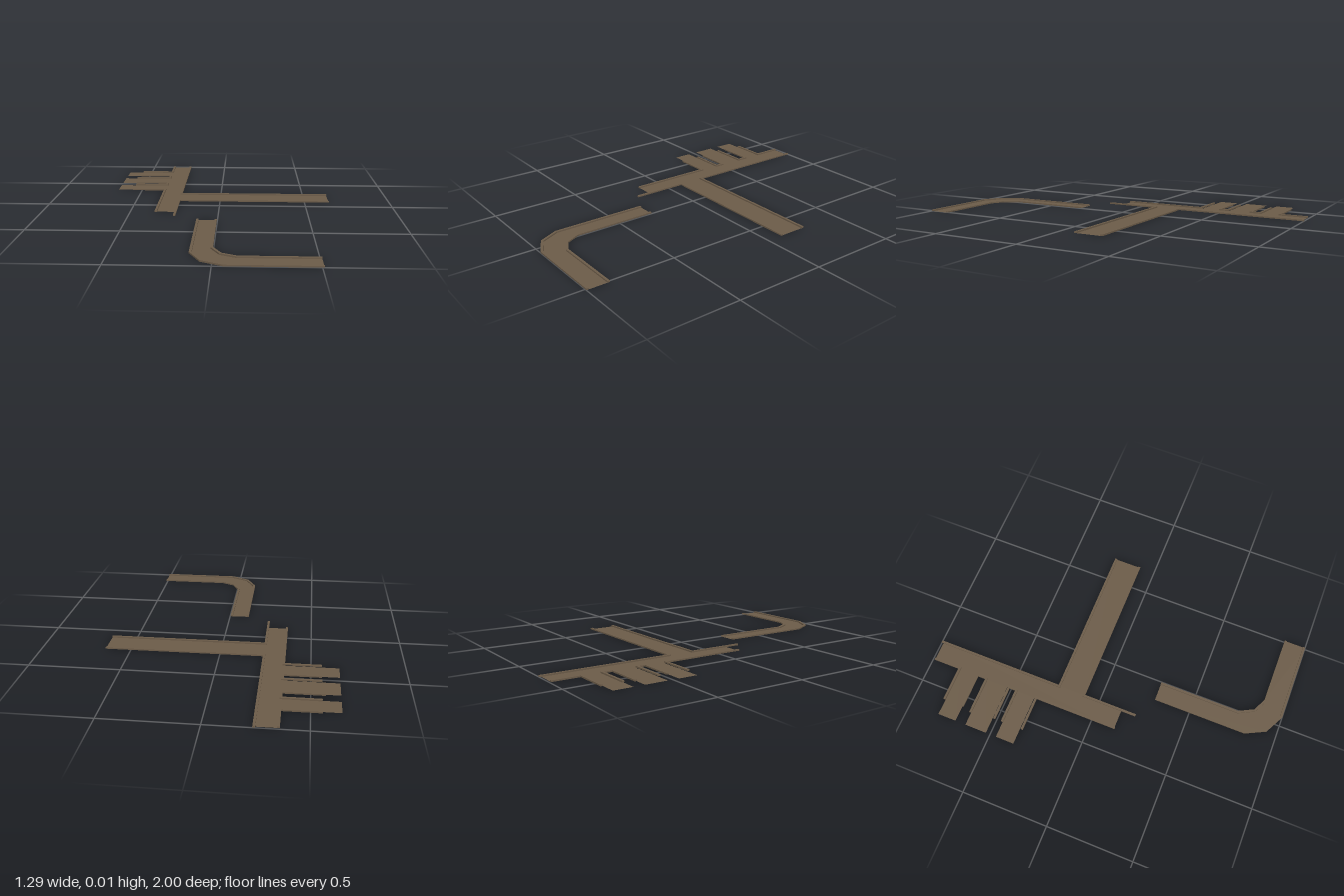
import * as THREE from 'three';

const KERB_W = 0.013, KERB_H = 0.008;

// Shape from ground points [x, z]
const groundShape = pts => new THREE.Shape(pts.map(([x, z]) => new THREE.Vector2(x, -z)));

// Mitred offset of a ground polyline; positive d moves to the +z side of a line running along +x
function offsetLine(pts, d) {
  const normals = pts.slice(1).map(([x, z], i) => {
    const dx = x - pts[i][0], dz = z - pts[i][1], l = Math.hypot(dx, dz);
    return [-dz / l, dx / l];
  });
  return pts.map(([x, z], i) => {
    const a = normals[Math.max(i - 1, 0)], b = normals[Math.min(i, normals.length - 1)];
    const k = d / (1 + a[0] * b[0] + a[1] * b[1]);
    return [x + (a[0] + b[0]) * k, z + (a[1] + b[1]) * k];
  });
}

export function createModel() {
  const paving = new THREE.MeshStandardMaterial({ color: 0x6b5b48, side: THREE.DoubleSide });
  paving.name = 'brown paving';
  const model = new THREE.Group();
  model.name = 'pathways';

  const add = (parent, name, geometry) => {
    const mesh = new THREE.Mesh(geometry.rotateX(-Math.PI / 2), paving);
    mesh.name = name;
    parent.add(mesh);
  };
  // Thin flat surface lying on the ground
  const floor = (parent, name, pts) => add(parent, name, new THREE.ShapeGeometry(groundShape(pts)));
  const rect = (x0, x1, z0, z1) => [[x0, z0], [x1, z0], [x1, z1], [x0, z1]];
  // Low raised edge whose outer line is pts and which widens by d
  const kerb = (parent, name, pts, d) => add(parent, name, new THREE.ExtrudeGeometry(
    groundShape([...pts, ...offsetLine(pts, d).reverse()]),
    { depth: KERB_H, bevelEnabled: false }));

  // Branched path: spine, long arm and three short bays
  const branched = new THREE.Group();
  branched.name = 'branchedPath';
  model.add(branched);
  const xl = -0.362, xr = -0.237;
  floor(branched, 'spineFloor', rect(xl + 0.002, xr - 0.002, -0.99, 0.137));
  floor(branched, 'armFloor', rect(xr - 0.002, 0.644, -0.253, -0.092));

  // Long arm and the spine's right edge share cornered kerbs
  kerb(branched, 'backArmKerb', [[xr, -1], [xr, -0.255], [0.645, -0.255]], KERB_W);
  kerb(branched, 'frontArmKerb', [[0.645, -0.09], [xr, -0.09], [xr, 0.222]], KERB_W);

  // Bays: floor z range, outer kerb z range, start of the back kerb
  const bays = [
    [-0.824, -0.716, -0.837, -0.709, -0.558],
    [-0.654, -0.526, -0.665, -0.51, -0.575],
    [-0.464, -0.356, -0.475, -0.339, -0.558],
  ];
  let edge = -0.99;
  bays.forEach(([z0, z1, k0, k1, start], i) => {
    floor(branched, `bayFloor${i + 1}`, rect(-0.65, xl + 0.002, z0, z1));
    kerb(branched, `bayBackKerb${i + 1}`, [[start, k0], [xl, k0]], KERB_W);
    kerb(branched, `bayFrontKerb${i + 1}`, [[-0.558, k1], [xl, k1]], -KERB_W);
    // Left spine edge between the bays
    kerb(branched, `spineKerb${i + 1}`, [[xl, edge], [xl, k0 + KERB_W]], -KERB_W);
    edge = k1 - KERB_W;
  });
  kerb(branched, 'spineKerb4', [[xl, edge], [xl, 0.14]], -KERB_W);

  // Curved path with a faceted bend
  const bend = new THREE.Group();
  bend.name = 'curvedPath';
  model.add(bend);
  const outer = [[-0.115, 0.292], [-0.115, 0.83], [-0.058, 0.943], [0.052, 1], [0.51, 1]];
  const inner = [[-0.003, 0.29], [-0.003, 0.755], [0.04, 0.838], [0.115, 0.875], [0.51, 0.875]];
  floor(bend, 'bendFloor', [...outer, ...[...inner].reverse()]);
  kerb(bend, 'outerBendKerb', outer, -KERB_W);
  kerb(bend, 'innerBendKerb', inner, KERB_W);

  return model;
}
